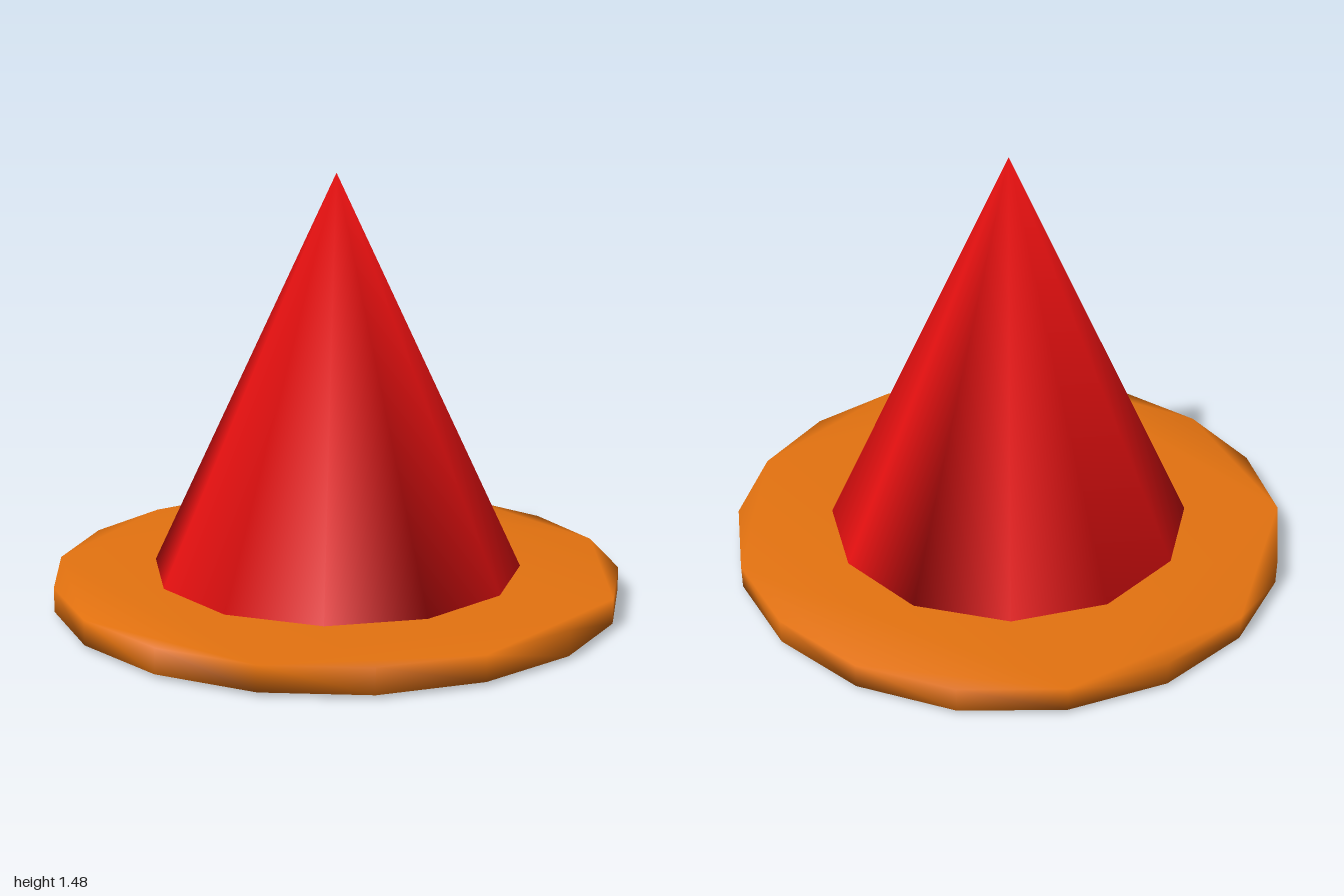
import * as THREE from 'three';
import { mergeGeometries, mergeVertices } from 'three/addons/utils/BufferGeometryUtils.js';

// Regular polygon outline with a corner on the +y axis
function polygon(sides, radius) {
  const points = [];
  for (let i = 0; i < sides; i++) {
    const a = Math.PI / 2 + (i * 2 * Math.PI) / sides;
    points.push(new THREE.Vector2(radius * Math.cos(a), radius * Math.sin(a)));
  }
  return new THREE.Shape(points);
}

// Share corners between all faces so the whole part is smooth shaded
function smooth(...parts) {
  for (const p of parts) {
    p.deleteAttribute('normal');
    p.deleteAttribute('uv');
    p.clearGroups();
  }
  const geometry = mergeVertices(parts.length > 1 ? mergeGeometries(parts) : parts[0], 1e-3);
  geometry.computeVertexNormals();
  return geometry;
}

export function createModel() {
  const red = new THREE.MeshStandardMaterial({ name: 'red', color: 0xe51010 });
  const orange = new THREE.MeshStandardMaterial({ name: 'orange', color: 0xe57310 });
  const group = new THREE.Group();
  group.name = 'coneWithBrim';

  // Twelve-sided cone, closed underneath
  const height = 1.48, radius = 0.7;
  const side = new THREE.ConeGeometry(radius, height, 12, 1, true).translate(0, height / 2, 0);
  const base = new THREE.ShapeGeometry(polygon(12, radius)).rotateX(Math.PI / 2);
  const cone = new THREE.Mesh(smooth(side, base), red);
  cone.name = 'cone';

  // Eighteen-sided flat brim, just clear of the ground
  const disc = new THREE.ExtrudeGeometry(polygon(18, 1), { depth: 0.085, bevelEnabled: false })
    .rotateX(-Math.PI / 2)
    .translate(0, 0.013, 0);
  const brim = new THREE.Mesh(smooth(disc), orange);
  brim.name = 'brim';

  group.add(cone, brim);
  return group;
}
